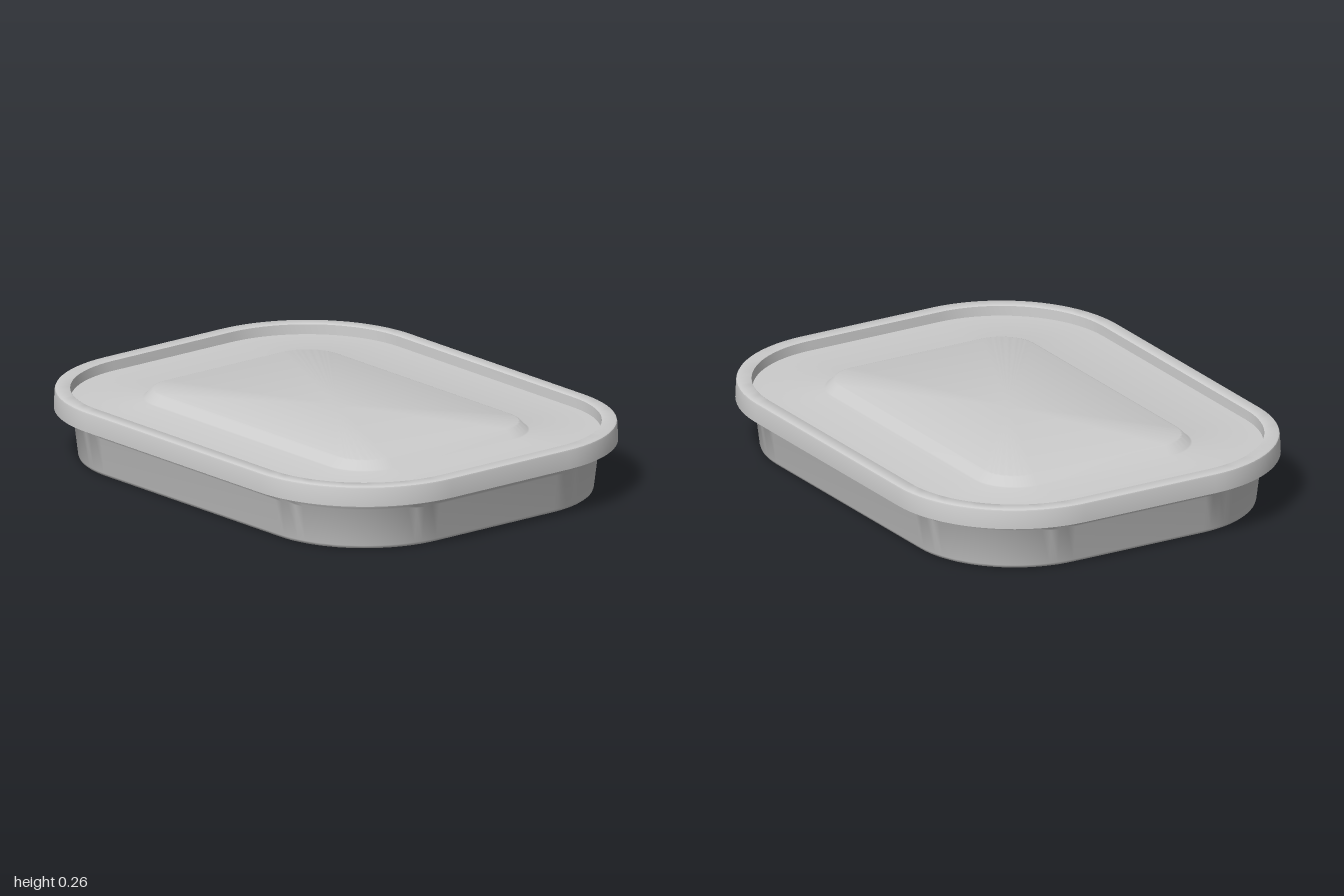
import * as THREE from 'three';
import { toCreasedNormals } from 'three/addons/utils/BufferGeometryUtils.js';

// Every outline is this core rectangle (half sizes) grown outward by a radius.
const CORE_X = 0.5, CORE_Z = 0.28;
const CORNER_STEPS = 20;

// Sweeps a closed [radius, y] profile round the rounded rectangle.
// A null radius closes the surface at the centre point.
function sweep(profile) {
  const columns = [];
  for (let q = 0; q < 4; q++) {
    const sx = q === 0 || q === 3 ? 1 : -1;
    const sz = q < 2 ? -1 : 1;
    for (let i = 0; i <= CORNER_STEPS; i++) {
      const a = (q + i / CORNER_STEPS) * Math.PI / 2;
      columns.push([sx * CORE_X, sz * CORE_Z, Math.cos(a), -Math.sin(a)]);
    }
  }
  const n = columns.length, positions = [], index = [];
  for (const [r, y] of profile) {
    for (const [cx, cz, dx, dz] of columns) {
      if (r === null) positions.push(0, y, 0);
      else positions.push(cx + dx * r, y, cz + dz * r);
    }
  }
  for (let j = 0; j < profile.length - 1; j++) {
    for (let i = 0; i < n; i++) {
      const k = (i + 1) % n;
      const a = j * n + i, b = j * n + k, c = a + n, d = b + n;
      if (profile[j][0] !== null) index.push(a, b, c);
      if (profile[j + 1][0] !== null) index.push(b, d, c);
    }
  }
  const geometry = new THREE.BufferGeometry();
  geometry.setAttribute('position', new THREE.Float32BufferAttribute(positions, 3));
  geometry.setIndex(index);
  return toCreasedNormals(geometry, 0.6);
}

export function createModel() {
  const model = new THREE.Group();
  model.name = 'lidded container';
  const material = new THREE.MeshStandardMaterial({ color: 0xcccccc });
  const add = (name, profile) => {
    const mesh = new THREE.Mesh(sweep(profile), material);
    mesh.name = name;
    model.add(mesh);
  };

  // Tray: recessed base panel, tapered wall, small step below the rim
  add('tray', [
    [null, 0.032], [0.135, 0.032], [0.17, 0],
    [0.395, 0], [0.403, 0.002], [0.408, 0.006], [0.411, 0.014],
    [0.428, 0.15], [0.431, 0.157], [0.438, 0.166], [0.441, 0.175],
    [0.445, 0.21], [0.425, 0.21],
    [0.42, 0.175], [0.41, 0.155], [0.392, 0.02],
    [0.17, 0.02], [0.135, 0.052], [null, 0.052],
  ]);

  // Lid: thin shell with an overhanging skirt, raised rim and raised panel
  add('lid', [
    [null, 0.245], [0.13, 0.245], [0.165, 0.211],
    [0.424, 0.211], [0.447, 0.212], [0.45, 0.25], [0.482, 0.25], [0.486, 0.19],
    [0.5, 0.19], [0.497, 0.257], [0.495, 0.262], [0.49, 0.265],
    [0.443, 0.265], [0.44, 0.263], [0.437, 0.226],
    [0.175, 0.226], [0.168, 0.228], [0.14, 0.258], [0.134, 0.26], [null, 0.26],
  ]);

  return model;
}
